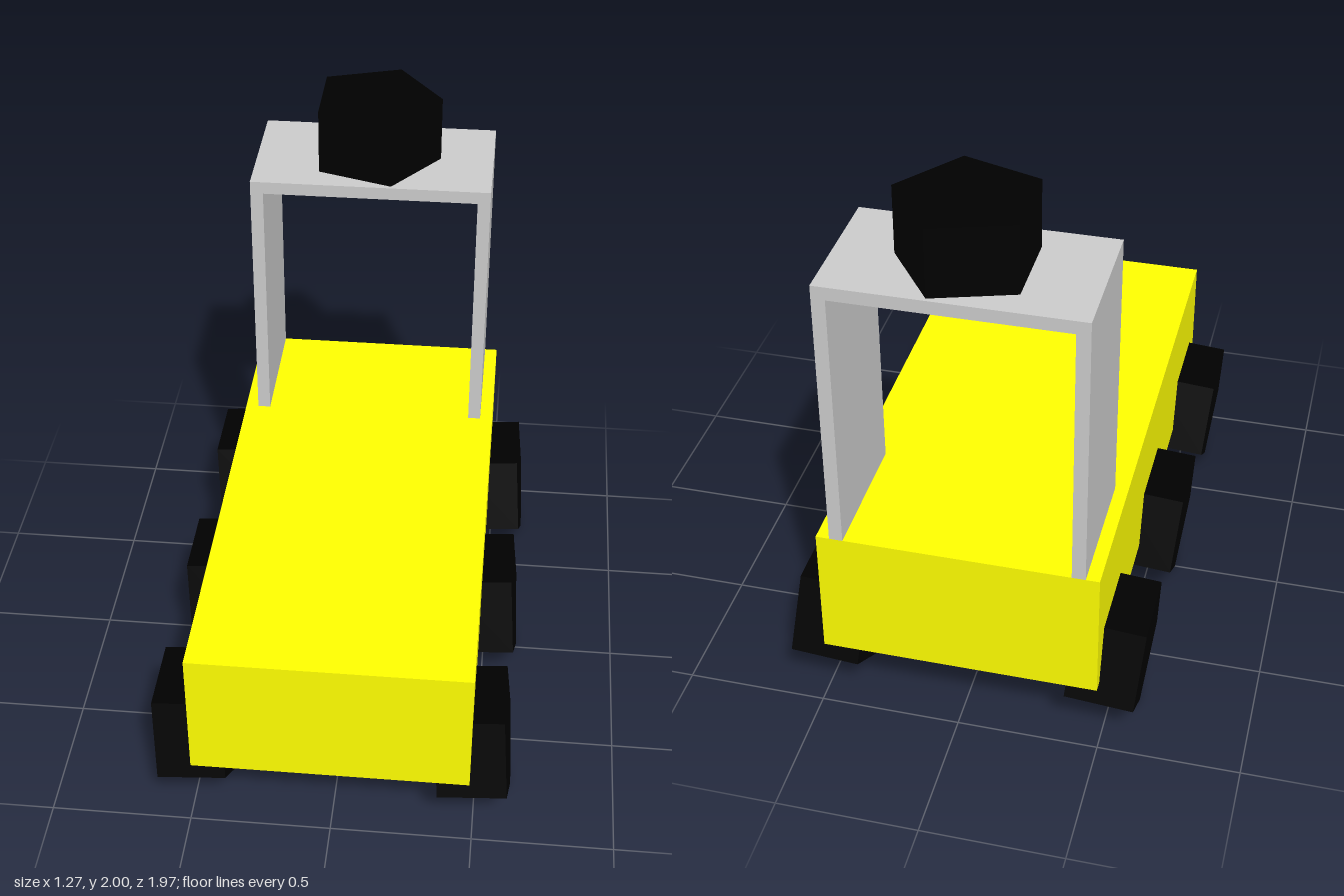
import * as THREE from 'three';

const yellow = new THREE.MeshStandardMaterial({ color: 0xffff00, flatShading: true });
const black = new THREE.MeshStandardMaterial({ color: 0x000000, flatShading: true });
const grey = new THREE.MeshStandardMaterial({ color: 0xcccccc, flatShading: true });

function add(group, name, geometry, material, x, y, z) {
  const mesh = new THREE.Mesh(geometry, material);
  mesh.name = name;
  mesh.position.set(x, y, z);
  group.add(mesh);
  return mesh;
}

// Five-sided drum standing on y, with one corner at the given angle
const drum = (corner) => new THREE.CylinderGeometry(0.244, 0.244, 0.244, 5, 1, false, corner);

export function createModel() {
  const model = new THREE.Group();
  model.name = 'rover';

  // Box body
  add(model, 'body', new THREE.BoxGeometry(0.975, 0.49, 1.97), yellow, -0.003, 0.505, 0);

  // Open arch at the rear: two side walls and a roof in one extrusion
  const arch = new THREE.Shape();
  [[-0.443, 0], [-0.443, 1.007], [0.437, 1.007], [0.437, 0],
    [0.39, 0], [0.39, 0.96], [-0.396, 0.96], [-0.396, 0]]
    .forEach(([x, y], i) => (i ? arch.lineTo(x, y) : arch.moveTo(x, y)));
  const archGeometry = new THREE.ExtrudeGeometry(arch, { depth: 0.49, bevelEnabled: false });
  add(model, 'rearArch', archGeometry, grey, 0, 0.75, -0.985);

  // Beacon on the roof, one corner towards +x
  add(model, 'beacon', drum(Math.PI / 2), black, -0.003, 1.878, -0.74);

  // Three wheels a side, corner down, all leaning the same way
  const wheelGeometry = drum(-Math.PI / 2).rotateZ(Math.PI / 2);
  for (const [side, x] of [['right', -0.5], ['left', 0.488]]) {
    for (const [place, z] of [['Front', 0.738], ['Middle', 0], ['Rear', -0.738]]) {
      const wheel = add(model, `${side}${place}Wheel`, wheelGeometry, black, x, 0.257, z);
      wheel.rotation.z = 0.08;
    }
  }
  return model;
}
